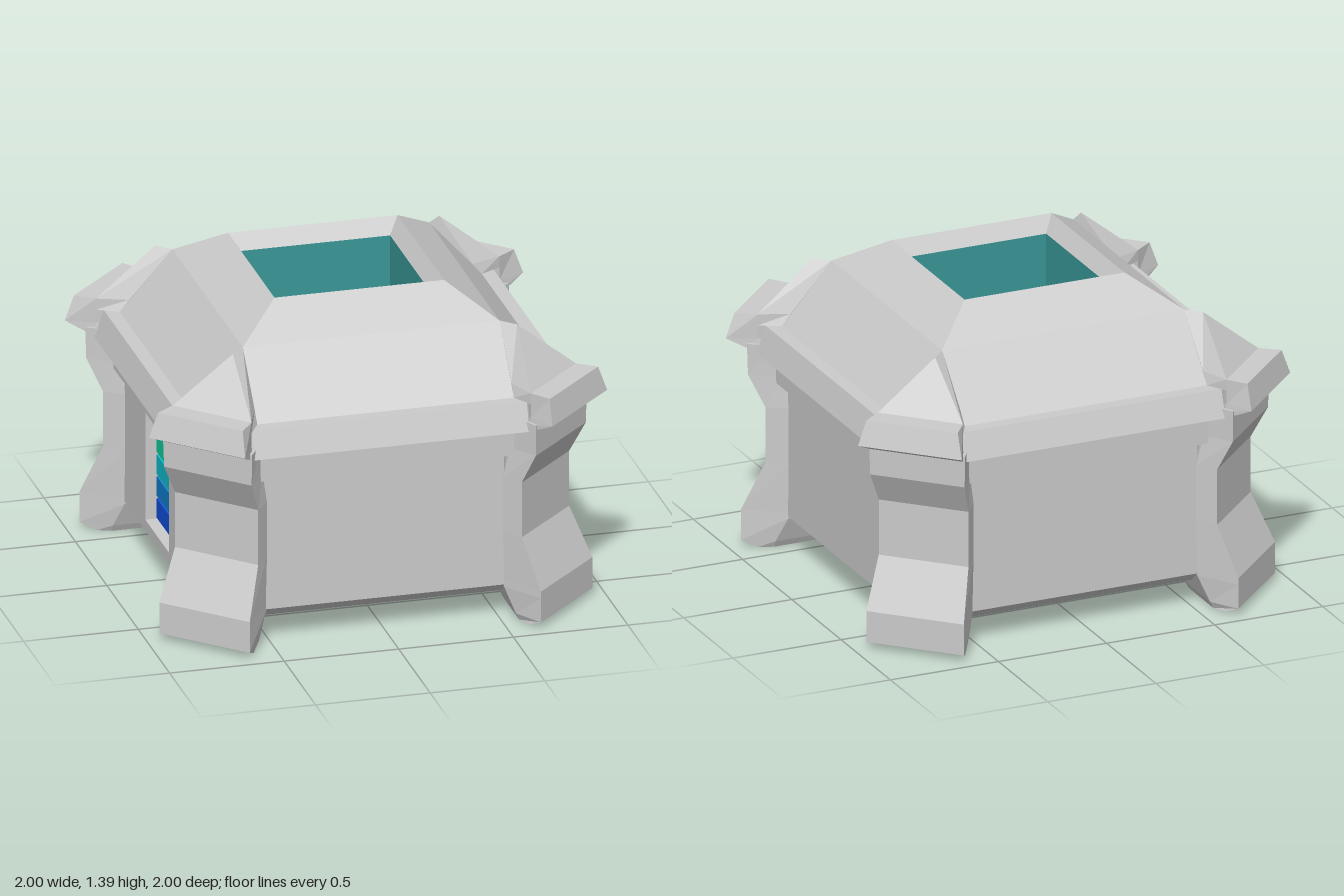
import * as THREE from 'three';

const grey = new THREE.MeshStandardMaterial({ color: 0xcccccc, flatShading: true });
const paint = (color) => new THREE.MeshStandardMaterial({ color, flatShading: true });

// Joins rings of [x, y, z] points (anticlockwise from above) into a faceted skin.
function loft(rings, { capStart = false, capEnd = false, skip = () => false } = {}) {
  const pos = [];
  const tri = (a, b, c) => {
    const area = new THREE.Triangle(
      new THREE.Vector3(...a), new THREE.Vector3(...b), new THREE.Vector3(...c)).getArea();
    if (area > 1e-7) pos.push(...a, ...b, ...c);
  };
  const n = rings[0].length;
  for (let r = 0; r < rings.length - 1; r++) {
    for (let i = 0; i < n; i++) {
      if (skip(r, i)) continue;
      const j = (i + 1) % n;
      tri(rings[r][i], rings[r][j], rings[r + 1][j]);
      tri(rings[r][i], rings[r + 1][j], rings[r + 1][i]);
    }
  }
  const first = rings[0], last = rings[rings.length - 1];
  for (let i = 1; i < n - 1; i++) {
    if (capStart) tri(first[0], first[i + 1], first[i]);
    if (capEnd) tri(last[0], last[i], last[i + 1]);
  }
  const g = new THREE.BufferGeometry();
  g.setAttribute('position', new THREE.Float32BufferAttribute(pos, 3));
  g.computeVertexNormals();
  return g;
}

// Square of half width h whose corners are cut back to c.
const octagon = ([y, h, c = h]) => [
  [h, y, c], [h, y, -c], [c, y, -h], [-c, y, -h],
  [-h, y, -c], [-h, y, c], [-c, y, h], [c, y, h],
];

// Five-sided corner section: outer edge (a, b), side (sa, sb), inner point p.
const corner = ([y, a, b, sa, sb, p]) => [
  [b, y, a], [a, y, b], [sa, y, sb], [p, y, p], [sb, y, sa],
];

function add(parent, name, geometry, material = grey) {
  const mesh = new THREE.Mesh(geometry, material);
  mesh.name = name;
  parent.add(mesh);
  return mesh;
}

export function createModel() {
  const model = new THREE.Group();
  model.name = 'container';

  // Walls, stepped rim, sloping lid and bevelled mouth; one wall is left open
  const bodyProfile = [
    [0.10, 0.72, 0.52], [0.15, 0.78, 0.52], [0.75, 0.78, 0.52],
    [0.75, 0.82, 0.555], [0.88, 0.82, 0.555],
    [0.88, 0.89, 0.60], [1.0, 0.85, 0.60], [1.0, 0.79, 0.56],
    [1.26, 0.56], [1.39, 0.37], [1.32, 0.325],
  ];
  add(model, 'body', loft(bodyProfile.map(octagon), {
    capStart: true, skip: (r, i) => r === 1 && i === 4,
  }));

  // Coloured well in the lid
  add(model, 'well', loft([[1.32, 0.325], [1.05, 0.325]].map(octagon), { capEnd: true }), paint(0x3a9898));

  // Wall with a window for the gauge
  const wall = new THREE.Shape([[-0.52, 0.15], [0.52, 0.15], [0.52, 0.75], [-0.52, 0.75]]
    .map((p) => new THREE.Vector2(...p)));
  wall.holes.push(new THREE.Path([[-0.19, 0.2], [-0.19, 0.7], [0.19, 0.7], [0.19, 0.2]]
    .map((p) => new THREE.Vector2(...p))));
  const wallGeometry = new THREE.ExtrudeGeometry(wall, { depth: 0.06, bevelEnabled: false });
  wallGeometry.rotateY(-Math.PI / 2).translate(-0.72, 0, 0);
  add(model, 'gaugeWall', wallGeometry);

  // Gauge: back plate and five coloured bars
  const gauge = new THREE.Group();
  gauge.name = 'gauge';
  model.add(gauge);
  add(gauge, 'gaugeBack', new THREE.BoxGeometry(0.02, 0.52, 0.40)).position.set(-0.715, 0.45, 0);
  [0x1050e0, 0x1080d0, 0x10c0d0, 0x10d0a0, 0x10d060].forEach((color, i) => {
    add(gauge, 'gaugeBar', new THREE.BoxGeometry(0.01, 0.088, 0.37), paint(color))
      .position.set(-0.727, 0.25 + i * 0.1, 0);
  });

  // Corner leg, bracket and lid guard, repeated four times
  const legGeometry = loft([
    [0, 0.88, 0.60, 0.82, 0.575, 0.575],
    [0.03, 0.945, 0.635, 0.82, 0.56, 0.56],
    [0.14, 0.945, 0.635, 0.78, 0.52, 0.52],
    [0.17, 0.945, 0.635, 0.78, 0.52, 0.52],
    [0.39, 0.86, 0.575, 0.78, 0.515, 0.52],
    [0.64, 0.86, 0.575, 0.78, 0.515, 0.52],
    [0.78, 0.92, 0.62, 0.80, 0.54, 0.52],
    [0.92, 0.925, 0.62, 0.82, 0.555, 0.52],
  ].map(corner), { capStart: true, capEnd: true });
  const bracketGeometry = loft([
    [0.90, 0.925, 0.63, 0.87, 0.60, 0.58],
    [0.94, 1.0, 0.67, 0.88, 0.61, 0.58],
    [1.05, 0.96, 0.67, 0.88, 0.61, 0.58],
  ].map(corner), { capStart: true, capEnd: true });
  const guardGeometry = loft([
    [1.0, 0.88, 0.61, 0.79, 0.56, 0.56],
    [1.05, 0.88, 0.61, 0.75, 0.56, 0.56],
    [1.26, 0.62, 0.62, 0.56, 0.56, 0.56],
  ].map(corner));

  for (let i = 0; i < 4; i++) {
    const post = new THREE.Group();
    post.name = 'cornerPost';
    post.rotation.y = i * Math.PI / 2;
    add(post, 'leg', legGeometry);
    add(post, 'bracket', bracketGeometry);
    add(post, 'lidGuard', guardGeometry);
    model.add(post);
  }
  return model;
}
